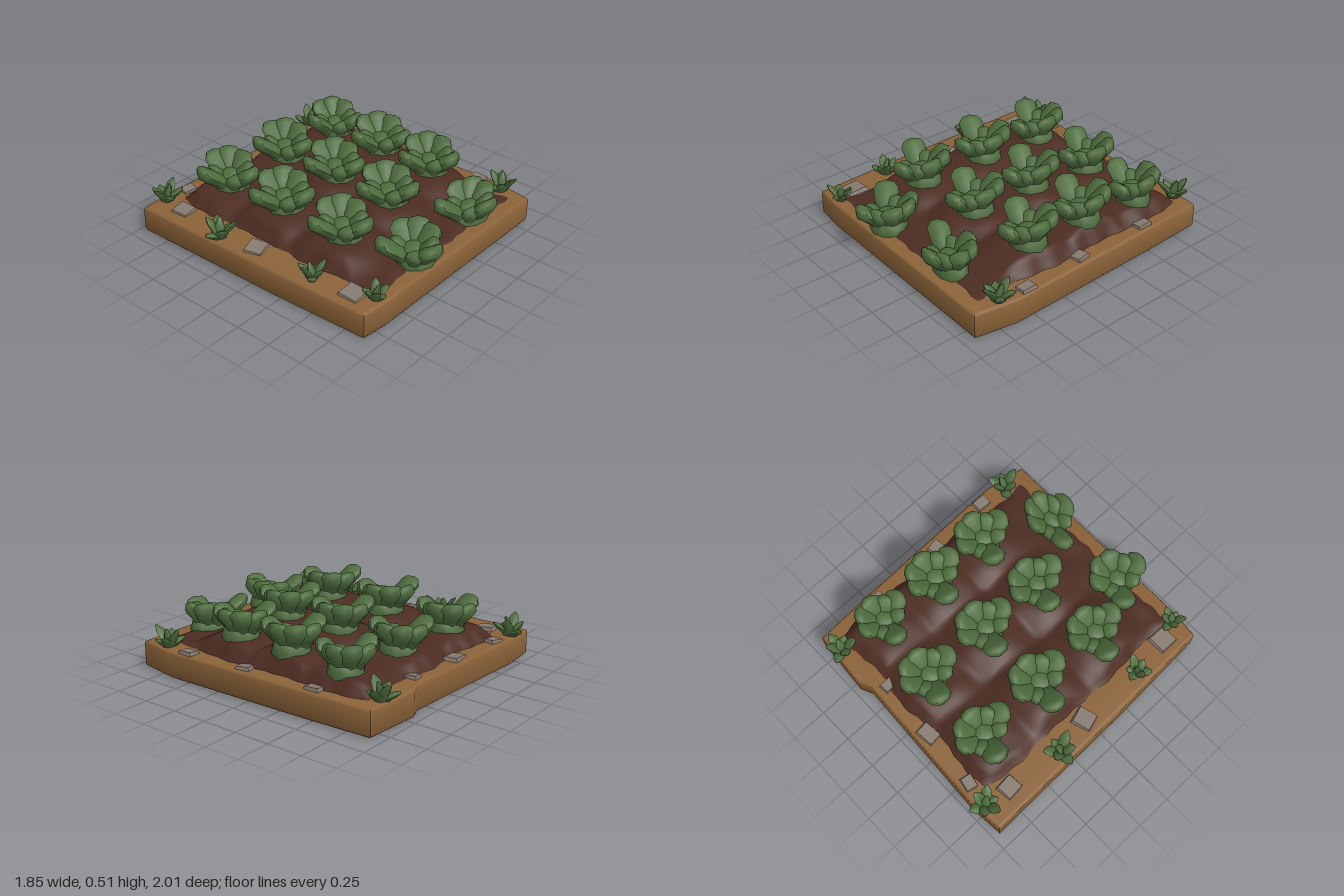
import * as THREE from 'three';
import { mergeGeometries, toCreasedNormals } from 'three/addons/utils/BufferGeometryUtils.js';

const mat = (name, color) => {
  const m = new THREE.MeshStandardMaterial({ color });
  m.name = name;
  return m;
};

// Outline of the bed, as [x, z]
const OUTLINE = [[-0.91, -0.95], [-0.67, -0.97], [0.36, -0.92], [0.45, -0.96], [0.85, -0.93],
  [0.87, -0.5], [0.9, 0.64], [0.85, 0.93], [-0.67, 0.92], [-0.86, 0.9], [-0.89, 0.2]];

// Large plants: x, z, ground height, turn, width scale, depth scale
const PLANTS = [
  [-0.42, -0.62, 0.26, 0, 0.98, 1], [0.11, -0.61, 0.26, 0.08, 1, 1], [0.6, -0.57, 0.26, -0.1, 0.95, 0.92],
  [-0.42, -0.13, 0.29, 0, 1.05, 1], [0.09, -0.13, 0.29, 0.05, 1, 1], [0.58, -0.13, 0.29, -0.05, 1, 1],
  [-0.43, 0.37, 0.285, 0.05, 1, 0.98], [0.08, 0.33, 0.285, 0, 1, 1], [0.57, 0.3, 0.285, 0.05, 1, 0.98],
  [-0.24, 0.78, 0.19, 0.3, 1.05, 0.97], [0.38, 0.76, 0.19, 0.15, 1.15, 0.82]];

// Small tufts on the rim: x, z, turn, scale
const TUFTS = [[-0.74, -0.91, 0.2, 1], [0.69, -0.89, 1.1, 0.98], [-0.82, -0.32, 2, 1.02],
  [-0.78, 0.43, 2.8, 0.85], [-0.69, 0.85, 0.7, 0.8], [0.82, 0.73, 1.6, 0.98]];

// Flat stones: x, z, width, depth, turn
const STONES = [[-0.76, -0.72, 0.13, 0.14, 0.1], [-0.56, -0.89, 0.11, 0.09, -0.2], [-0.14, -0.86, 0.15, 0.11, 0.1],
  [0.29, -0.83, 0.08, 0.1, 0.1], [0.8, -0.48, 0.09, 0.12, 0], [-0.77, -0.05, 0.15, 0.14, 0.3],
  [0.81, 0.07, 0.09, 0.11, 0.2], [0.84, 0.53, 0.09, 0.12, 0], [-0.74, 0.72, 0.15, 0.16, 0]];

function outlineShape(scale) {
  return new THREE.Shape(OUTLINE.map(([x, z]) => new THREE.Vector2(x * scale, z * scale)));
}

// Thick leaf lofted through rings of [reach, height, half width, half thickness]
function leafGeometry(dx, dz, rings, sides = 8) {
  const D = new THREE.Vector3(dx, 0, dz).normalize();
  const S = new THREE.Vector3(-D.z, 0, D.x);
  const pos = [], idx = [];
  const centres = rings.map(([r, y]) => D.clone().multiplyScalar(r).setY(y));
  rings.forEach(([, , w, th], i) => {
    const T = centres[Math.min(i + 1, rings.length - 1)].clone().sub(centres[Math.max(i - 1, 0)]).normalize();
    const N = T.clone().cross(S);
    for (let j = 0; j < sides; j++) {
      const a = j / sides * Math.PI * 2, c = Math.cos(a);
      const p = centres[i].clone().addScaledVector(S, c * w)
        .addScaledVector(N, Math.sin(a) * th).addScaledVector(D, -c * c * w * 0.2);
      pos.push(p.x, p.y, p.z);
      const k = (j + 1) % sides, b = i * sides;
      if (i < rings.length - 1) idx.push(b + j, b + k, b + sides + k, b + j, b + sides + k, b + sides + j);
      else idx.push(b + j, b + k, rings.length * sides);
    }
  });
  const tip = centres[rings.length - 1];
  pos.push(tip.x + D.x * 0.005, tip.y + 0.01, tip.z + D.z * 0.005);
  const g = new THREE.BufferGeometry();
  g.setAttribute('position', new THREE.Float32BufferAttribute(pos, 3));
  g.setIndex(idx);
  return toCreasedNormals(g, 1.1);
}

function plantGeometry() {
  // Tip x, tip z, width, height of each leaf
  const leaves = [[-0.2, -0.06, 0.08, 0.19], [-0.08, -0.1, 0.06, 0.14], [0.02, -0.18, 0.075, 0.2],
    [0.12, -0.12, 0.08, 0.21], [0.15, 0.0, 0.085, 0.2], [0.09, 0.1, 0.07, 0.17],
    [0.03, 0.19, 0.08, 0.18], [-0.05, 0.12, 0.065, 0.13]];
  const parts = leaves.map(([x, z, w, h]) => {
    const r = Math.hypot(x, z);
    return leafGeometry(x, z, [[0.05, -0.04, 0.06, 0.05], [0.065, h * 0.25, w * 0.8, 0.05],
      [r * 0.66, h * 0.58, w, 0.05], [r * 0.97, h * 0.84, w * 1.05, 0.045], [r * 1.02, h, w * 0.75, 0.028]]);
  });
  // Heart of the plant
  const core = new THREE.SphereGeometry(0.13, 10, 6).translate(0.02, 0, 0).toNonIndexed();
  core.deleteAttribute('uv');
  return mergeGeometries([...parts, core]);
}

function tuftGeometry() {
  const parts = [];
  for (let i = 0; i < 6; i++) {
    const a = i / 6 * Math.PI * 2, r = 0.085 + 0.025 * (i % 2), h = 0.12 - 0.035 * (i % 3);
    parts.push(leafGeometry(Math.cos(a), Math.sin(a), [[0.01, -0.02, 0.025, 0.02],
      [r * 0.45, h * 0.45, 0.038, 0.02], [r * 0.8, h * 0.8, 0.033, 0.016], [r, h, 0.012, 0.008]], 6));
  }
  parts.push(leafGeometry(0.3, 1, [[0, -0.02, 0.03, 0.025], [0.01, 0.06, 0.035, 0.025], [0.03, 0.12, 0.012, 0.01]], 6));
  return mergeGeometries(parts);
}

// Soil sheet: mounds under the plants, edges sinking into the rim
function soilGeometry() {
  const g = new THREE.PlaneGeometry(2, 2, 56, 64).rotateX(-Math.PI / 2);
  const p = g.attributes.position;
  for (let i = 0; i < p.count; i++) {
    const u = p.getX(i), v = p.getZ(i);
    const x = 0.045 + u * (0.745 + 0.012 * Math.sin(v * 8) + 0.006 * Math.sin(v * 29));
    const z = 0.005 + v * (0.86 + 0.016 * Math.sin(u * 7 + 1) + 0.006 * Math.sin(u * 31));
    const edge = Math.min(1, (1 - Math.max(Math.abs(u), Math.abs(v))) / 0.1);
    let mound = 0;
    for (const [cx, cz, y] of PLANTS) {
      const d = Math.hypot(x - cx, z - cz) / 0.27;
      mound = Math.max(mound, (y - 0.19) * Math.exp(-(d ** 4)));
    }
    const y = 0.175 + edge * (0.03 + mound + 0.006 * Math.sin(x * 19) * Math.sin(z * 15));
    p.setXYZ(i, x, y, z);
  }
  g.computeVertexNormals();
  return g;
}

export function createModel() {
  const clay = mat('ochre rim', 0x8a6238);
  const soil = mat('dark soil', 0x4c2c22);
  const green = mat('leaf green', 0x4e6d3e);
  const grey = mat('stone grey', 0x857a70);
  const model = new THREE.Group();
  const add = (name, geometry, material, x = 0, y = 0, z = 0) => {
    const m = new THREE.Mesh(geometry, material);
    m.name = name;
    m.position.set(x, y, z);
    model.add(m);
    return m;
  };

  // Bed slab with softened edges and a dark underside
  const slab = new THREE.ExtrudeGeometry(outlineShape(1), { depth: 0.15, bevelThickness: 0.015,
    bevelSize: 0.02, bevelOffset: -0.02, bevelSegments: 2 }).rotateX(Math.PI / 2).translate(0, 0.175, 0);
  add('bedRim', toCreasedNormals(slab, 0.9), clay);
  const under = new THREE.ExtrudeGeometry(outlineShape(0.975), { depth: 0.008, bevelEnabled: false });
  add('underside', under.rotateX(Math.PI / 2), soil, 0, 0.012, 0);
  add('soil', soilGeometry(), soil);

  // Crop plants
  const plant = plantGeometry();
  PLANTS.forEach(([x, z, y, turn, sx, sz], i) => {
    const m = add('plant' + (i + 1), plant, green, x, y, z);
    m.rotation.y = -turn;
    m.scale.set(sx, 1, sz);
  });

  // Weeds on the rim
  const tuft = tuftGeometry();
  TUFTS.forEach(([x, z, turn, s], i) => {
    const m = add('tuft' + (i + 1), tuft, green, x, 0.19, z);
    m.rotation.y = turn;
    m.scale.setScalar(s);
  });

  // Squarish stones pressed into the rim
  const stone = new THREE.CylinderGeometry(0.58, 0.72, 1, 4).rotateY(Math.PI / 4).toNonIndexed();
  stone.computeVertexNormals();
  STONES.forEach(([x, z, w, d, turn], i) => {
    const m = add('stone' + (i + 1), stone, grey, x, 0.188, z);
    m.scale.set(w, 0.04, d);
    m.rotation.set(0.06, turn, 0.08);
  });
  return model;
}
